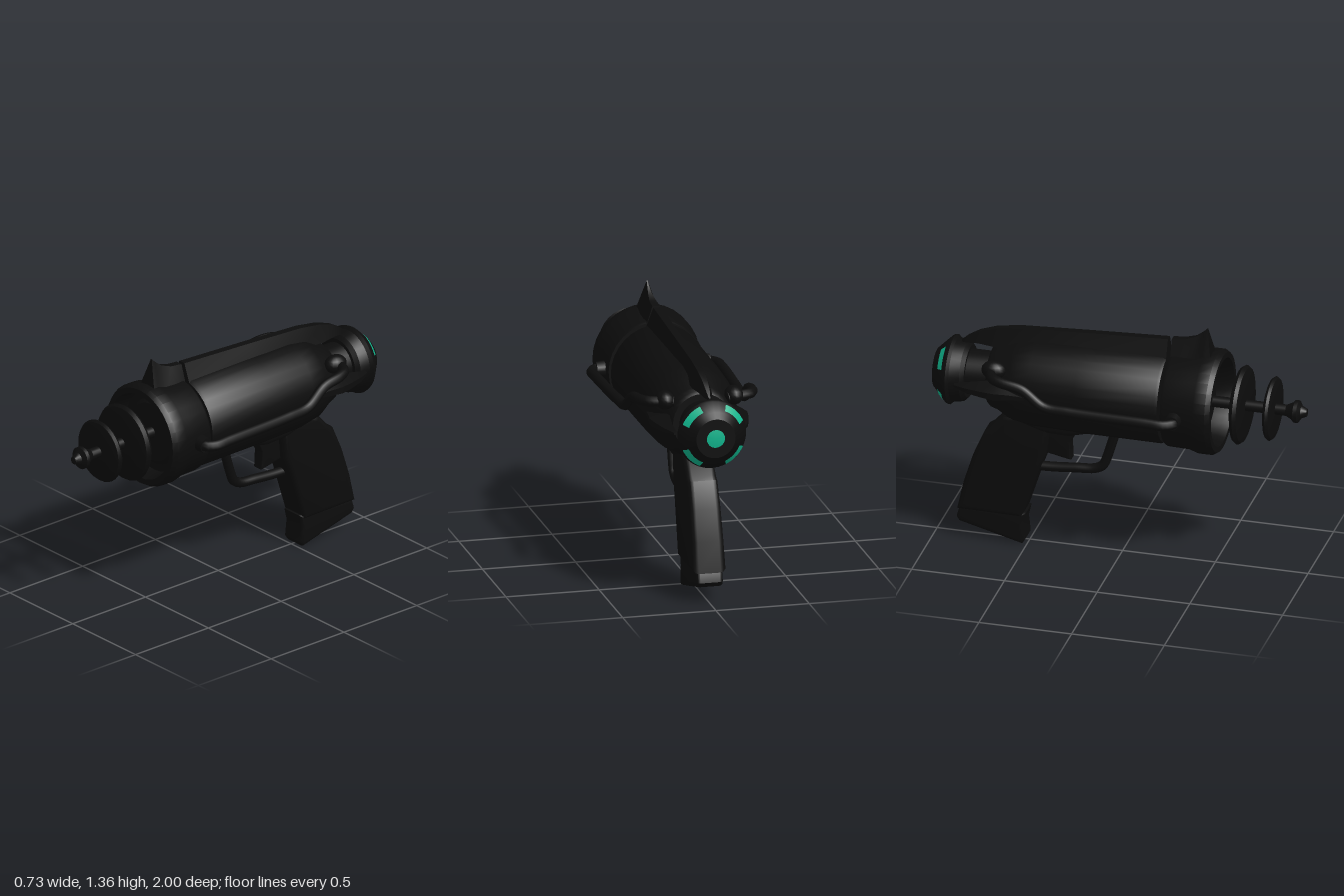
import * as THREE from 'three';
import { toCreasedNormals } from 'three/addons/utils/BufferGeometryUtils.js';

const AXIS = 0.94; // height of the barrel centre line

export function createModel() {
  const model = new THREE.Group();
  const black = new THREE.MeshStandardMaterial({ color: 0x0c0c0c });
  black.name = 'black shell';
  const glow = new THREE.MeshStandardMaterial({ color: 0x10b48c });
  glow.name = 'teal glow';

  const add = (name, geometry, material = black, y = 0) => {
    const mesh = new THREE.Mesh(geometry, material);
    mesh.name = name;
    mesh.position.y = y;
    model.add(mesh);
    return mesh;
  };

  // Turned part along z; profile is [z, radius] from back to front
  const turned = (profile, sides = 32, start = 0, length = Math.PI * 2) => {
    const pts = profile.map(([z, r]) => new THREE.Vector2(r, z));
    return toCreasedNormals(new THREE.LatheGeometry(pts, sides, start, length).rotateX(Math.PI / 2), 0.55);
  };

  // Side outline of [z, y] points, extruded across x with bevelled edges
  const slab = (outline, width, bevel) => {
    const shape = new THREE.Shape(outline.map(([z, y]) => new THREE.Vector2(-z, y)));
    const g = new THREE.ExtrudeGeometry(shape, {
      depth: width - 2 * bevel, bevelEnabled: true, bevelSize: bevel,
      bevelThickness: bevel, bevelOffset: -bevel, bevelSegments: 3,
    });
    return toCreasedNormals(g.translate(0, 0, bevel - width / 2).rotateY(Math.PI / 2), 0.6);
  };

  // Tapered blade; stations [z, inner radius, outer radius, inner half width, outer half width]
  const blade = (stations) => {
    const pos = [], index = [];
    for (const [z, r0, r1, w0, w1] of stations) {
      pos.push(-w0, r0, z, w0, r0, z, w1, r1, z, -w1, r1, z);
    }
    const n = stations.length;
    for (let i = 0; i < n - 1; i++) {
      for (let k = 0; k < 4; k++) {
        const a = i * 4 + k, b = i * 4 + (k + 1) % 4;
        index.push(a, a + 4, b + 4, a, b + 4, b);
      }
    }
    const e = (n - 1) * 4;
    index.push(0, 1, 2, 0, 2, 3, e, e + 2, e + 1, e, e + 3, e + 2);
    const g = new THREE.BufferGeometry();
    g.setAttribute('position', new THREE.Float32BufferAttribute(pos, 3));
    g.setIndex(index);
    return toCreasedNormals(g, 0.5);
  };

  const path = (pts) => new THREE.CatmullRomCurve3(
    pts.map((p) => new THREE.Vector3(...p)), false, 'centripetal');

  // Barrel body, neck and muzzle ring
  add('barrelBody', turned([
    [-0.70, 0], [-0.70, 0.155], [-0.685, 0.17], [-0.65, 0.18], [-0.56, 0.225], [-0.45, 0.243],
    [-0.2, 0.25], [0.235, 0.252], [0.25, 0.245], [0.25, 0],
  ]), black, AXIS);
  add('neck', turned([[-0.84, 0], [-0.84, 0.12], [-0.69, 0.12], [-0.69, 0]]), black, AXIS);
  add('muzzleRing', turned([
    [0.27, 0], [0.27, 0.255], [0.285, 0.262], [0.40, 0.265], [0.45, 0.28], [0.515, 0.28],
    [0.54, 0.265], [0.54, 0.235], [0.50, 0.225], [0.44, 0.22], [0.44, 0.18], [0.46, 0.16], [0.46, 0],
  ]), black, AXIS);

  // Antenna with two discs and a pointed tip
  add('antennaRod', turned([[0.45, 0.03], [0.90, 0.03]], 16), black, AXIS);
  for (const [z, r, t] of [[0.645, 0.21, 0.03], [0.81, 0.17, 0.023]]) {
    add('antennaDisc', turned([
      [z - t * 0.7, 0], [z - t, r * 0.75], [z - t * 0.6, r * 0.94], [z, r],
      [z + t * 0.6, r * 0.94], [z + t, r * 0.75], [z + t * 0.7, 0],
    ]), black, AXIS);
  }
  add('antennaTip', turned([
    [0.88, 0.028], [0.915, 0.045], [0.93, 0.06], [0.95, 0.06], [0.965, 0.035], [0.995, 0.02], [1.0, 0],
  ], 16), black, AXIS);

  // Rear cap with its lens and four glowing slots
  add('rearCap', turned([
    [-1.0, 0], [-1.0, 0.105], [-0.985, 0.12], [-0.97, 0.135], [-0.925, 0.18], [-0.91, 0.185],
    [-0.895, 0.17], [-0.84, 0.16], [-0.82, 0.14], [-0.82, 0],
  ]), black, AXIS);
  add('rearLens', turned([[-1.003, 0], [-1.002, 0.035], [-0.998, 0.062]], 24), glow, AXIS);
  for (let i = 0; i < 4; i++) {
    const middle = Math.PI / 4 + i * Math.PI / 2;
    add('glowSlot', turned([[-0.963, 0.147], [-0.934, 0.176]], 8, middle - 0.38, 0.76), glow, AXIS);
  }

  // Top spine, front sight and side prongs
  add('topSpine', blade([
    [0.25, 0.22, 0.338, 0.065, 0.02], [-0.2, 0.22, 0.315, 0.06, 0.02], [-0.55, 0.19, 0.295, 0.05, 0.02],
    [-0.68, 0.18, 0.275, 0.045, 0.018], [-0.77, 0.185, 0.245, 0.035, 0.014], [-0.83, 0.175, 0.21, 0.022, 0.01],
    [-0.865, 0.17, 0.18, 0.008, 0.004],
  ]), black, AXIS);
  add('frontSight', blade([
    [0.485, 0.25, 0.28, 0.06, 0.05], [0.46, 0.25, 0.42, 0.06, 0.003], [0.44, 0.25, 0.40, 0.06, 0.005],
    [0.40, 0.24, 0.368, 0.06, 0.01], [0.34, 0.24, 0.347, 0.06, 0.018], [0.27, 0.22, 0.34, 0.06, 0.02],
  ]), black, AXIS);
  for (const side of [-1, 1]) {
    add('sideProng', blade([
      [-0.43, 0.20, 0.235, 0.01, 0.004], [-0.55, 0.18, 0.25, 0.045, 0.015], [-0.63, 0.16, 0.262, 0.05, 0.018],
      [-0.70, 0.17, 0.25, 0.042, 0.016], [-0.79, 0.18, 0.225, 0.028, 0.012], [-0.86, 0.175, 0.19, 0.01, 0.005],
    ]).rotateZ(-side * Math.PI / 2), black, AXIS);

    // Side rail bent into the muzzle ring and the rear shoulder
    add('sideRail', new THREE.TubeGeometry(path([
      [side * 0.24, 0.935, 0.345], [side * 0.30, 0.935, 0.355], [side * 0.335, 0.935, 0.31],
      [side * 0.34, 0.94, 0.22], [side * 0.325, 0.94, -0.2], [side * 0.318, 0.95, -0.34],
      [side * 0.31, 1.03, -0.46], [side * 0.303, 1.05, -0.57], [side * 0.27, 1.055, -0.63],
      [side * 0.14, 1.055, -0.67],
    ]), 60, 0.028, 10));
    add('railSocket', new THREE.CylinderGeometry(0.04, 0.045, 0.05, 12)
      .rotateZ(-side * Math.PI / 2).translate(side * 0.28, 0.935, 0.345));
    add('railShoulder', new THREE.SphereGeometry(0.05, 16, 10)
      .scale(1, 1, 1.3).translate(side * 0.185, 1.06, -0.645));
  }

  // Grip, base, trigger and guard
  add('saddle', slab([
    [-0.16, 0.74], [-0.16, 0.695], [-0.27, 0.665], [-0.42, 0.67], [-0.60, 0.73], [-0.70, 0.80], [-0.68, 0.86],
  ], 0.17, 0.03));
  const grip = slab([
    [-0.38, 0.72], [-0.395, 0.55], [-0.43, 0.46], [-0.525, 0.165], [-0.875, 0.17], [-0.84, 0.33],
    [-0.79, 0.49], [-0.73, 0.63], [-0.70, 0.65], [-0.63, 0.73], [-0.55, 0.76],
  ], 0.17, 0.03);
  const gp = grip.attributes.position;
  for (let i = 0; i < gp.count; i++) gp.setX(i, gp.getX(i) * (1.06 - (gp.getY(i) - 0.17) * 0.2));
  add('grip', grip);
  add('gripBase', slab([
    [-0.505, 0.185], [-0.52, 0.12], [-0.51, 0.03], [-0.525, 0.005], [-0.865, 0.095], [-0.88, 0.12],
    [-0.865, 0.17], [-0.83, 0.20],
  ], 0.145, 0.02));
  add('trigger', slab([
    [-0.18, 0.70], [-0.25, 0.655], [-0.275, 0.61], [-0.27, 0.51], [-0.30, 0.515], [-0.42, 0.54], [-0.42, 0.70],
  ], 0.07, 0.012));
  add('triggerGuard', new THREE.TubeGeometry(path([
    [0, 0.72, -0.03], [0, 0.65, -0.05], [0, 0.55, -0.08], [0, 0.49, -0.105], [0, 0.465, -0.15],
    [0, 0.455, -0.25], [0, 0.445, -0.36], [0, 0.44, -0.48],
  ]), 40, 0.026, 10));

  return model;
}
